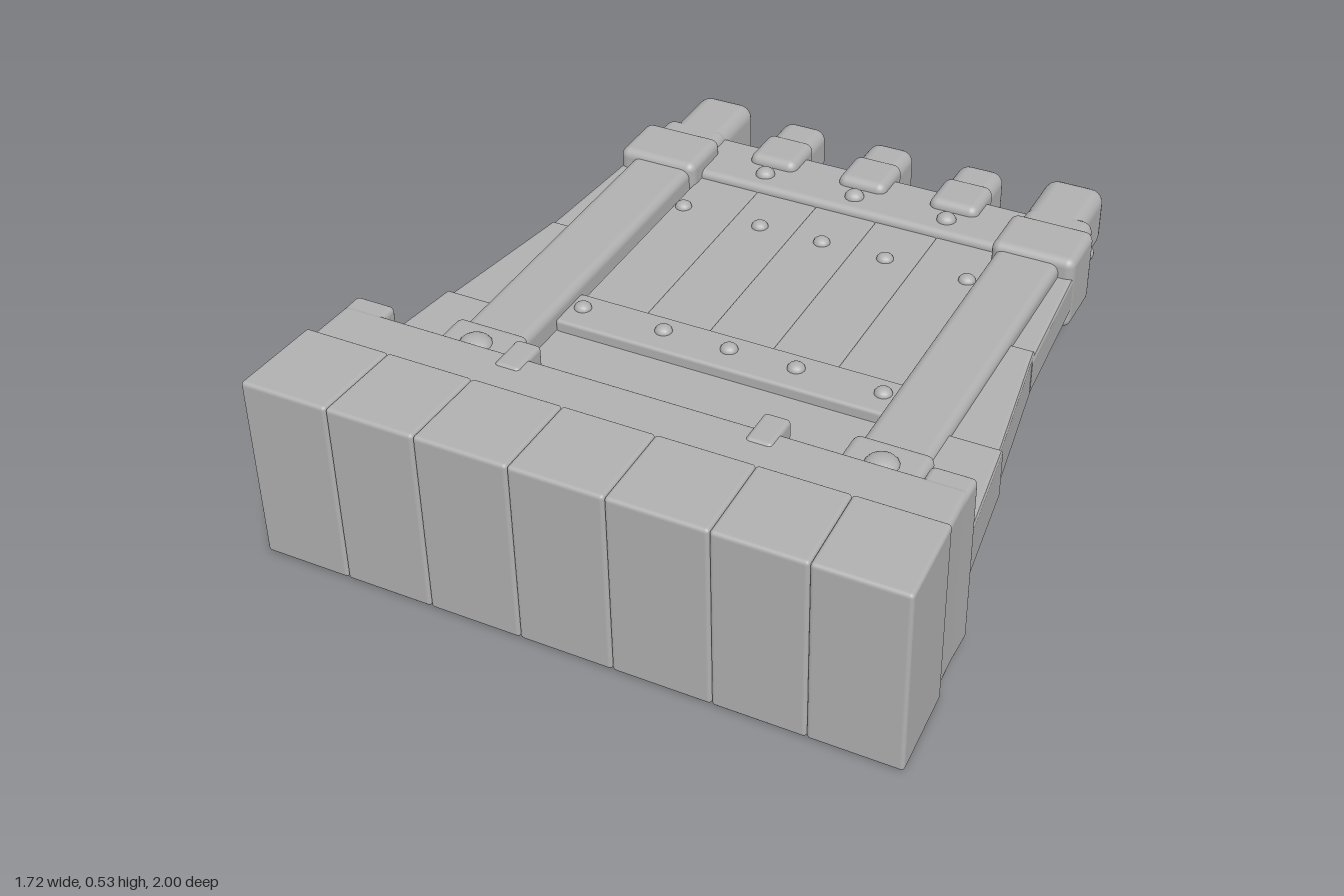
import * as THREE from 'three';
import { RoundedBoxGeometry } from 'three/addons/geometries/RoundedBoxGeometry.js';

export function createModel() {
  const model = new THREE.Group();
  model.name = 'stoneGate';
  const stone = new THREE.MeshStandardMaterial({ color: 0xb0b0b0 });
  stone.name = 'grey stone';

  function add(name, geometry) {
    const mesh = new THREE.Mesh(geometry, stone);
    mesh.name = name;
    model.add(mesh);
    return mesh;
  }
  // Rounded block given by its limits on each axis
  function block(name, [x0, x1], [y0, y1], [z0, z1], r = 0.02) {
    const g = new RoundedBoxGeometry(x1 - x0, y1 - y0, z1 - z0, 3, r);
    g.translate((x0 + x1) / 2, (y0 + y1) / 2, (z0 + z1) / 2);
    return add(name, g);
  }
  function pair(name, [x0, x1], y, z, r) {
    block(name + 'Left', [x0, x1], y, z, r);
    block(name + 'Right', [-x1, -x0], y, z, r);
  }
  function stud(name, x, y, z, r, h) {
    const g = new THREE.SphereGeometry(r, 14, 10);
    g.scale(1, h / r, 1);
    add(name, g).position.set(x, y, z);
  }
  // Narrow the footing slightly towards the back
  function taper(mesh) {
    const p = mesh.geometry.attributes.position;
    for (let i = 0; i < p.count; i++) p.setX(i, p.getX(i) * (1 - (1 - p.getZ(i)) * 0.06));
    mesh.geometry.computeVertexNormals();
  }

  // Footing: a row of stones with fine seams, and a lower step behind
  const seams = [-0.86, -0.62, -0.38, -0.13, 0.12, 0.38, 0.62, 0.86];
  for (let i = 0; i < seams.length - 1; i++) {
    taper(block('footingStone', [seams[i], seams[i + 1]], [0.008, 0.535], [0.745, 1], 0.01));
  }
  taper(block('footingStep', [-0.853, 0.853], [0.03, 0.517], [0.6, 0.78], 0.015));
  pair('footingEnd', [0.72, 0.835], [0.03, 0.515], [0.55, 0.7], 0.015);
  pair('footingTab', [0.3, 0.37], [0.022, 0.523], [0.547, 0.66], 0.012);

  // Flared side walls, from a plan outline
  function wing(name, points, y0, y1) {
    for (const s of [1, -1]) {
      const shape = new THREE.Shape(points.map(([x, z]) => new THREE.Vector2(x * s, -z)));
      const b = 0.012;
      const g = new THREE.ExtrudeGeometry(shape, {
        depth: y1 - y0 - 2 * b, bevelThickness: b, bevelSize: b, bevelOffset: -b, bevelSegments: 2,
      });
      g.rotateX(-Math.PI / 2);
      g.translate(0, y0 + b, 0);
      add(name + (s > 0 ? 'Left' : 'Right'), g);
    }
  }
  wing('wallLower', [[0.5, 0.62], [0.835, 0.62], [0.785, 0.23], [0.5, 0.23]], 0.195, 0.35);
  wing('wallMiddle', [[0.5, 0.26], [0.782, 0.26], [0.712, -0.2], [0.5, -0.2]], 0.205, 0.34);
  wing('wallUpper', [[0.5, -0.17], [0.718, -0.17], [0.69, -0.58], [0.68, -0.72], [0.5, -0.72]], 0.215, 0.33);

  // Door slab, recessed between the rails
  block('doorSlab', [-0.5, 0.5], [0.24, 0.3], [-0.79, 0.68], 0.01);
  const plank = 0.92 / 5;
  for (let i = 0; i < 5; i++) {
    const x = -0.46 + i * plank;
    block('plank', [x, x + plank], [0.225, 0.32], [-0.64, 0.12], 0.006);
  }
  block('lowerStrap', [-0.47, 0.47], [0.27, 0.333], [0.07, 0.21], 0.01);
  block('upperBeam', [-0.62, 0.62], [0.2, 0.343], [-0.815, -0.61], 0.02);
  block('undersideLowerBeam', [-0.5, 0.5], [0.205, 0.27], [0.42, 0.64], 0.012);
  pair('undersideEdge', [0.42, 0.5], [0.205, 0.26], [-0.7, 0.5], 0.012);

  // Rows of rivets on the planks
  for (const x of [-0.43, -0.19, 0, 0.19, 0.43]) {
    stud('upperRivet', x, 0.32, -0.45, 0.024, 0.018);
    stud('lowerRivet', x, 0.333, 0.13, 0.024, 0.018);
  }

  // Side rails with heads, collars and feet
  pair('rail', [0.467, 0.65], [0.185, 0.368], [-0.7, 0.5], 0.025);
  pair('railNeck', [0.47, 0.665], [0.19, 0.365], [-0.82, -0.68], 0.03);
  pair('railHead', [0.468, 0.64], [0.183, 0.365], [-1, -0.75], 0.04);
  pair('collar', [0.453, 0.692], [0.165, 0.387], [-0.735, -0.555], 0.025);
  pair('railFoot', [0.453, 0.665], [0.165, 0.385], [0.36, 0.54], 0.022);
  for (const s of [1, -1]) {
    stud('footKnobTop', s * 0.56, 0.38, 0.45, 0.045, 0.027);
    stud('footKnobUnder', s * 0.56, 0.17, 0.45, 0.045, 0.027);
    stud('collarKnob', s * 0.655, 0.275, -0.785, 0.025, 0.025);
  }

  // Teeth along the top edge
  for (const x of [-0.28, 0, 0.28]) {
    block('tooth', [x - 0.073, x + 0.073], [0.19, 0.37], [-0.86, -0.715], 0.025);
    block('toothTip', [x - 0.068, x + 0.068], [0.195, 0.36], [-0.97, -0.76], 0.035);
    stud('toothRivetTop', x, 0.343, -0.675, 0.028, 0.022);
    stud('toothRivetUnder', x, 0.2, -0.665, 0.028, 0.018);
  }

  // Underside boss: stepped disc with a domed centre
  const boss = [[0, 0.05], [0.05, 0.046], [0.09, 0.03], [0.12, 0.014], [0.21, 0.014], [0.235, 0.022], [0.255, 0.014], [0.265, 0]]
    .map(([r, y]) => new THREE.Vector2(r, y)).reverse();
  const disc = add('undersideBoss', new THREE.LatheGeometry(boss, 40));
  disc.rotation.x = Math.PI;
  disc.position.set(0, 0.226, -0.12);

  // Hanging pull handle with its mounting plates
  const path = new THREE.CatmullRomCurve3(
    [[-0.28, 0.19, -0.02], [-0.285, 0.165, 0.08], [-0.22, 0.165, 0.21], [0, 0.165, 0.295],
      [0.22, 0.165, 0.21], [0.285, 0.165, 0.08], [0.28, 0.19, -0.02]].map((p) => new THREE.Vector3(...p)));
  add('pullHandle', new THREE.TubeGeometry(path, 48, 0.02, 10));
  pair('handlePlate', [0.215, 0.345], [0.205, 0.24], [-0.085, 0.045], 0.012);
  pair('handleLug', [0.25, 0.31], [0.165, 0.225], [-0.055, 0.01], 0.018);
  for (const s of [1, -1]) {
    for (const z of [-0.5, 0.34]) stud('undersideRivet', s * 0.35, 0.228, z, 0.025, 0.018);
  }

  return model;
}
